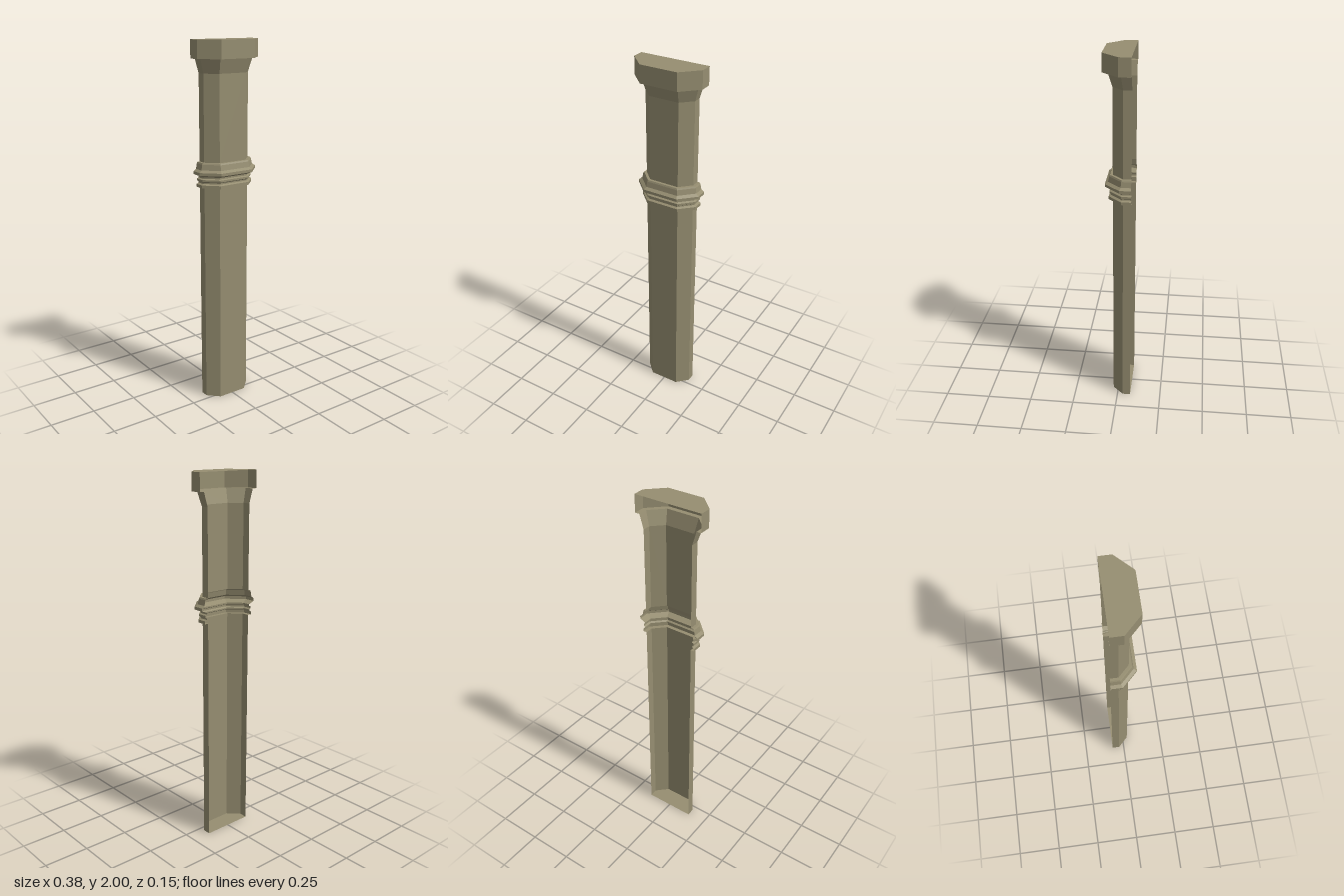
import * as THREE from 'three';

const stone = new THREE.MeshStandardMaterial({ color: 0x968e71, side: THREE.DoubleSide });
stone.name = 'weathered stone';

// Half-octagon section, open at the back, grown outward by o with mitred corners
function section(y, o) {
  const side = 0.142 + o, front = 0.029 + o, half = 0.083 + o * 0.414;
  const bevel = front - (side - half), back = -0.074;
  return [[side, back], [side, bevel], [half, front], [-half, front], [-side, bevel], [-side, back]]
    .map(([x, z]) => new THREE.Vector3(x, y, z));
}

// Faceted shell through [height, offset] pairs, optionally closed at the ends
function shell(name, profile, { top = false, bottom = false } = {}) {
  const rings = profile.map(([y, o]) => section(y, o));
  const points = [];
  for (let j = 0; j < rings.length - 1; j++) {
    const a = rings[j], b = rings[j + 1];
    for (let i = 0; i < a.length - 1; i++) {
      points.push(a[i], b[i], a[i + 1], a[i + 1], b[i], b[i + 1]);
    }
  }
  const first = rings[0], last = rings[rings.length - 1];
  for (let i = 1; i < first.length - 1; i++) {
    if (bottom) points.push(first[0], first[i], first[i + 1]);
    if (top) points.push(last[0], last[i + 1], last[i]);
  }
  const geometry = new THREE.BufferGeometry().setFromPoints(points);
  geometry.computeVertexNormals();
  const mesh = new THREE.Mesh(geometry, stone);
  mesh.name = name;
  return mesh;
}

export function createModel() {
  const pilaster = new THREE.Group();
  pilaster.name = 'pilaster';
  pilaster.add(
    shell('lowerShaft', [[0, 0], [1.235, 0]], { bottom: true }),
    // stacked mouldings around the shaft
    shell('collar', [
      [1.235, 0], [1.235, 0.021], [1.251, 0.021], [1.257, 0.009], [1.264, 0.009],
      [1.27, 0.018], [1.28, 0.018], [1.285, 0.008], [1.293, 0.008], [1.299, 0.022],
      [1.307, 0.04], [1.322, 0.04], [1.333, 0.024], [1.362, 0.018], [1.37, 0.014], [1.37, 0],
    ]),
    shell('upperShaft', [[1.37, 0], [1.83, 0]]),
    shell('flare', [[1.83, 0], [1.905, 0.023]]),
    shell('capital', [[1.905, 0.023], [1.905, 0.049], [2, 0.049]], { top: true }),
  );
  return pilaster;
}
